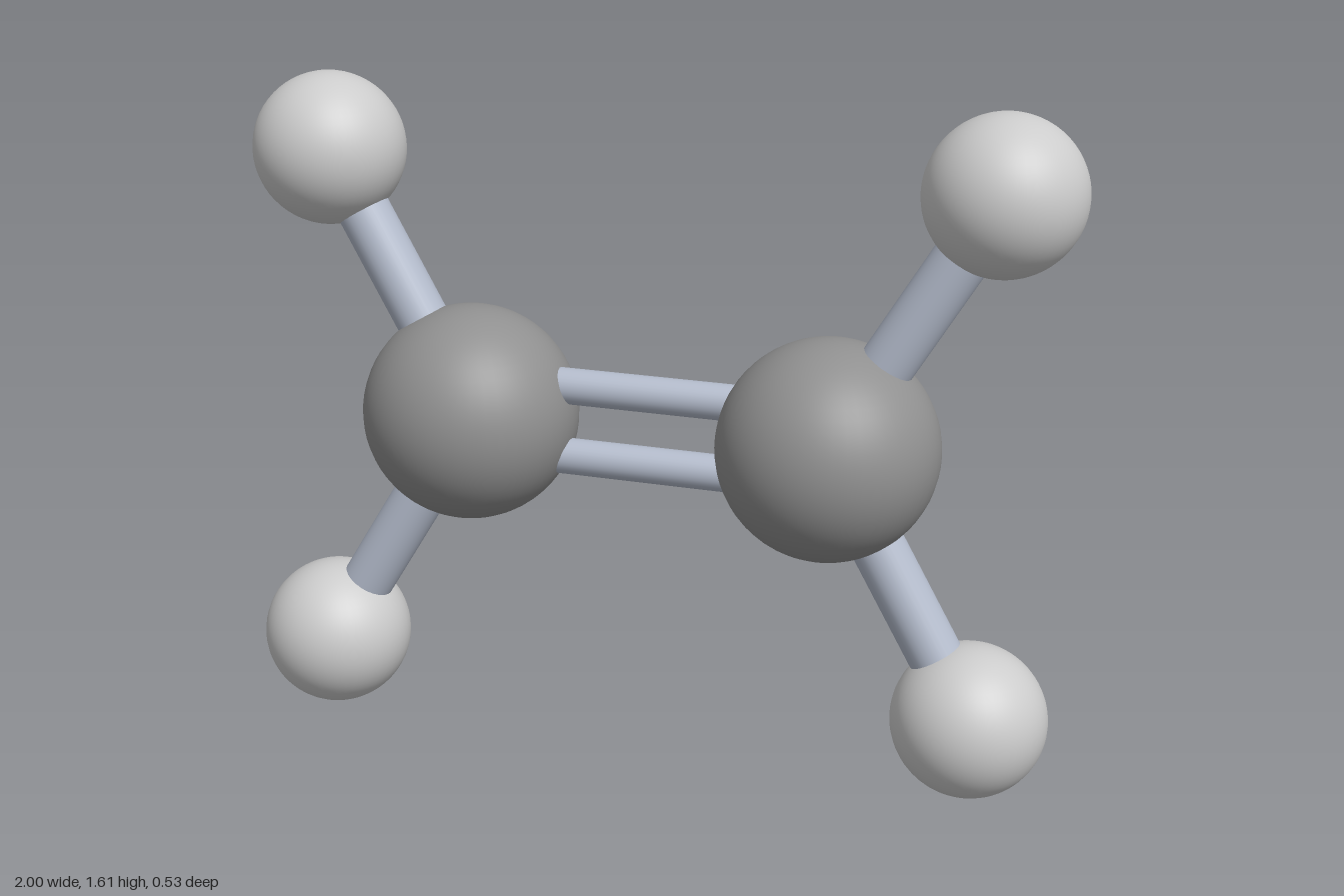
import * as THREE from 'three';

export function createModel() {
  const model = new THREE.Group();
  const material = (color) => new THREE.MeshStandardMaterial({ color });
  const darkGrey = material(0x909090);
  const lightGrey = material(0xcccccc);
  const blueGrey = material(0xb4bccc);

  const CENTRE_Y = 0.81;
  const up = new THREE.Vector3(0, 1, 0);

  function addAtom(name, position, radius, mat) {
    const atom = new THREE.Mesh(new THREE.SphereGeometry(radius, 48, 32), mat);
    atom.name = name;
    atom.position.copy(position);
    model.add(atom);
  }

  // Round rod running from one point to another
  function addBond(name, from, to, radius) {
    const dir = to.clone().sub(from);
    const bond = new THREE.Mesh(new THREE.CylinderGeometry(radius, radius, dir.length(), 32), blueGrey);
    bond.name = name;
    bond.position.copy(from).addScaledVector(dir, 0.5);
    bond.quaternion.setFromUnitVectors(up, dir.normalize());
    model.add(bond);
  }

  // Each half: a large atom with two small atoms, in a slightly tilted plane
  for (const [side, sx] of [['left', 1], ['right', -1]]) {
    const hub = new THREE.Vector3(sx * 0.446, CENTRE_Y, 0);
    addAtom(side + 'LargeAtom', hub, 0.264, darkGrey);
    for (const [level, sy] of [['Upper', 1], ['Lower', -1]]) {
      const tip = new THREE.Vector3(sx * 0.815, CENTRE_Y + sy * 0.62, sy * -0.047);
      addAtom(side + level + 'SmallAtom', tip, 0.185, lightGrey);
      addBond(side + level + 'Bond', hub, tip, 0.065);
    }
  }

  // Pair of thinner rods joining the large atoms
  for (const [level, sy] of [['upper', 1], ['lower', -1]]) {
    const y = CENTRE_Y + sy * 0.087;
    const z = sy * -0.007;
    addBond(level + 'DoubleBond', new THREE.Vector3(-0.446, y, z), new THREE.Vector3(0.446, y, z), 0.044);
  }

  return model;
}
